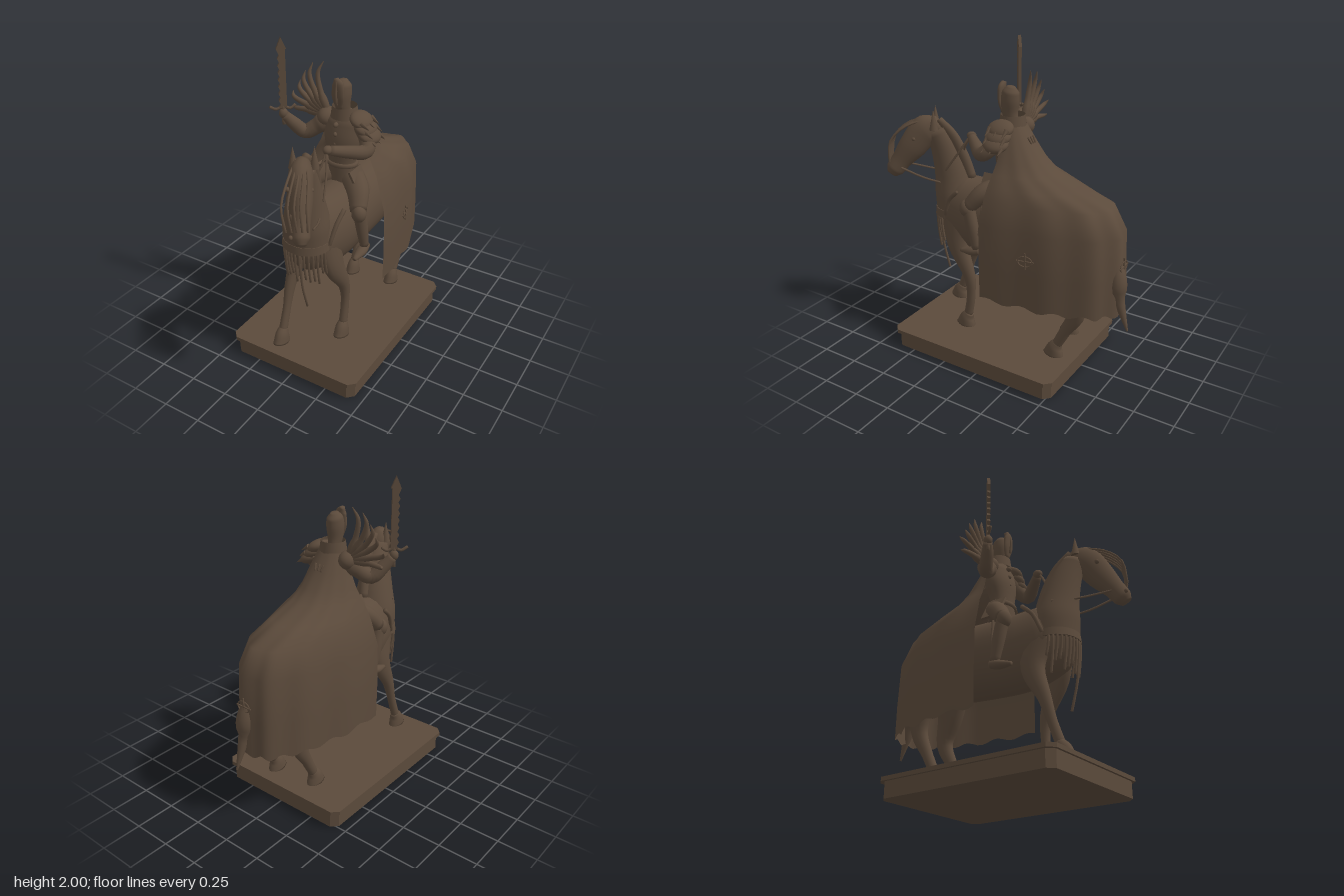
import * as THREE from 'three';

const bronze = new THREE.MeshStandardMaterial({ color: 0x5b4a3b });
const bronzeCloth = bronze.clone();
bronzeCloth.side = THREE.DoubleSide;

const X = [1, 0, 0], Z = [0, 0, 1];

// Surface from a grid of points; wrap closes each row into a ring
function gridGeometry(rows, cols, pos, wrap) {
  const index = [];
  for (let i = 0; i < rows - 1; i++) for (let j = 0; j < (wrap ? cols : cols - 1); j++) {
    const k = (j + 1) % cols, a = i * cols + j, b = i * cols + k;
    index.push(a, b, a + cols, b, b + cols, a + cols);
  }
  if (wrap) {
    const c0 = rows * cols, end = (rows - 1) * cols;
    for (let j = 0; j < cols; j++) {
      const k = (j + 1) % cols;
      index.push(c0, k, j, c0 + 1, end + j, end + k);
    }
  }
  const g = new THREE.BufferGeometry();
  g.setAttribute('position', new THREE.Float32BufferAttribute(pos, 3));
  g.setIndex(index);
  g.computeVertexNormals();
  return g;
}

// Loft of ellipses along a smooth path; each station is [x, y, z, sideRadius, depthRadius]
function loft(pts, ref = X, sides = 14, steps = 5) {
  const curve = new THREE.CatmullRomCurve3(pts.map(p => new THREE.Vector3(p[0], p[1], p[2])));
  const radii = new THREE.CatmullRomCurve3(pts.map(p => new THREE.Vector3(p[3], p[4] ?? p[3], 0)));
  const n = (pts.length - 1) * steps, pos = [], r = new THREE.Vector3(...ref);
  for (let i = 0; i <= n; i++) {
    const c = curve.getPoint(i / n), t = curve.getTangent(i / n), q = radii.getPoint(i / n);
    const s = r.clone().addScaledVector(t, -r.dot(t)).normalize();
    const d = t.clone().cross(s);
    for (let j = 0; j < sides; j++) {
      const a = j / sides * Math.PI * 2;
      const p = c.clone().addScaledVector(s, Math.cos(a) * q.x).addScaledVector(d, Math.sin(a) * q.y);
      pos.push(p.x, p.y, p.z);
    }
  }
  pos.push(...curve.getPoint(0).toArray(), ...curve.getPoint(1).toArray());
  return gridGeometry(n + 1, sides, pos, true);
}

export function createModel() {
  const model = new THREE.Group();
  const add = (name, geo, x = 0, y = 0, z = 0, mat = bronze) => {
    const m = new THREE.Mesh(geo, mat);
    m.name = name;
    m.position.set(x, y, z);
    model.add(m);
    return m;
  };
  const rod = (name, r, ...pts) => add(name, loft(pts.map(p => [...p, r]), [0.6, 0.1, 0.8], 6, 3));
  const ball = (name, x, y, z, a, b, c) => {
    const m = add(name, new THREE.SphereGeometry(1, 18, 12), x, y, z);
    m.scale.set(a, b, c);
    return m;
  };
  let seed = 7;
  const rand = () => (seed = (seed * 16807) % 2147483647) / 2147483647;

  // Plinth with clipped corners
  const slab = (name, w, d, c, h, y) => {
    const s = new THREE.Shape([[w - c, d], [w, d - c], [w, c - d], [w - c, -d], [c - w, -d], [-w, c - d], [-w, d - c], [c - w, d]]
      .map(p => new THREE.Vector2(...p)));
    add(name, new THREE.ExtrudeGeometry(s, { depth: h, bevelEnabled: false }).rotateX(-Math.PI / 2), 0, y, 0.06);
  };
  slab('plinth', 0.44, 0.585, 0.04, 0.1, 0);
  slab('plinthTop', 0.457, 0.6, 0.04, 0.025, 0.1);

  // Horse body, neck and head turned to its left
  add('horseBody', loft([[0, 0.9, -0.7, 0.04, 0.05], [0, 0.93, -0.62, 0.17, 0.18], [0, 0.92, -0.4, 0.21, 0.24],
    [0, 0.89, 0, 0.2, 0.25], [0, 0.885, 0.22, 0.19, 0.25], [0, 0.92, 0.4, 0.16, 0.23], [0, 0.97, 0.52, 0.09, 0.1]], X, 24));
  add('horseNeck', loft([[0, 0.87, 0.43, 0.145, 0.13], [0, 1.0, 0.43, 0.145, 0.14], [0.01, 1.15, 0.45, 0.115, 0.125],
    [0.03, 1.3, 0.49, 0.085, 0.1], [0.06, 1.43, 0.54, 0.06, 0.075]], X, 20));
  add('horseHead', loft([[0.05, 1.47, 0.52, 0.04, 0.05], [0.09, 1.42, 0.6, 0.07, 0.1], [0.14, 1.32, 0.67, 0.062, 0.09],
    [0.18, 1.22, 0.74, 0.05, 0.065], [0.2, 1.165, 0.775, 0.05, 0.06], [0.215, 1.13, 0.795, 0.025, 0.035]], [0.87, 0, -0.5], 18));
  add('mane', loft([[0.06, 1.5, 0.51, 0.02, 0.02], [0.04, 1.4, 0.42, 0.025, 0.035], [0.02, 1.27, 0.355, 0.03, 0.035],
    [0, 1.13, 0.31, 0.03, 0.03]]));
  for (const [x, z] of [[0.02, 0.57], [0.12, 0.51]])
    add('horseEar', new THREE.ConeGeometry(0.028, 0.13, 10), x, 1.51, z);
  for (const s of [-1, 1]) {
    ball('horseEye', 0.12 + s * 0.055, 1.38, 0.66 - s * 0.03, 0.015, 0.015, 0.015);
    ball('nostril', 0.2 + s * 0.035, 1.18, 0.8 - s * 0.02, 0.012, 0.014, 0.012);
  }
  add('tail', loft([[0, 1.0, -0.66, 0.03], [0.03, 0.8, -0.74, 0.035], [0.04, 0.6, -0.77, 0.035], [0.045, 0.39, -0.84, 0.006]]));

  // Face guard rods and bridle
  for (let i = -2; i <= 2; i++)
    rod('faceGuardRod', 0.007, [0.07 + 0.015 * i, 1.5, 0.57], [0.14 + 0.024 * i, 1.46, 0.7 - 0.012 * i],
      [0.18 + 0.03 * i, 1.36, 0.8 - 0.015 * i], [0.2 + 0.025 * i, 1.22, 0.81 - 0.015 * i]);
  for (const s of [-1, 1]) {
    rod('rein', 0.007, [0.18 + s * 0.05, 1.19, 0.72 - s * 0.02], [0.08 + s * 0.09, 1.13, 0.57], [s * 0.12, 1.1, 0.47]);
    rod('handRein', 0.007, [0.05, 1.43, 0.28], [0.06 + s * 0.03, 1.31, 0.35], [0.02 + s * 0.1, 1.19, 0.43]);
  }

  // Horse legs: the right fore leg is stepping forward
  const hoof = (x, z) => add('hoof', loft([[x, 0.22, z - 0.03, 0.027, 0.03], [x, 0.18, z - 0.01, 0.04, 0.05],
    [x, 0.125, z, 0.045, 0.07]]));
  for (const s of [-1, 1]) {
    const x = s * 0.145, fwd = s < 0;
    add('foreLeg', loft([[s * 0.1, 0.9, 0.36, 0.06, 0.12], [s * 0.13, 0.7, 0.34, 0.05, 0.08],
      fwd ? [x, 0.5, 0.42, 0.033, 0.042] : [x, 0.5, 0.245, 0.033, 0.042],
      fwd ? [x, 0.34, 0.47, 0.025, 0.03] : [x, 0.36, 0.235, 0.026, 0.03],
      fwd ? [x, 0.2, 0.52, 0.027, 0.03] : [x, 0.2, 0.26, 0.027, 0.03]]));
    hoof(x, fwd ? 0.54 : 0.28);
    const h = fwd ? 0.025 : -0.015;
    add('hindLeg', loft([[s * 0.11, 0.88, -0.48, 0.09, 0.17], [s * 0.14, 0.66, -0.5, 0.065, 0.1],
      [x, 0.47, -0.53 + h, 0.04, 0.06], [x, 0.32, -0.46 + h, 0.03, 0.037], [x, 0.2, -0.4 + h, 0.028, 0.032]]));
    hoof(x, -0.38 + h);
  }

  // Breast armour with hanging fringe
  add('breastArmour', new THREE.CylinderGeometry(1, 1.04, 0.05, 24, 1), 0, 0.895, 0.43).scale.set(0.148, 1, 0.136);
  for (let i = 0; i < 15; i++) {
    const a = (i / 14 - 0.5) * 2.7, x = 0.145 * Math.sin(a), z = 0.43 + 0.13 * Math.cos(a), len = 0.13 + 0.12 * rand();
    rod('fringe', 0.008, [x, 0.88, z], [x, 0.88 - len / 2, z - 0.005], [x, 0.88 - len, z - 0.02]);
  }
  rod('longFringe', 0.008, [0.03, 0.88, 0.54], [0.03, 0.65, 0.54], [0.03, 0.45, 0.49]);
  for (const s of [-1, 1])
    rod('shoulderRod', 0.014, [s * 0.18, 1.09, 0.3], [s * 0.17, 1.02, 0.37], [s * 0.15, 0.9, 0.42]);

  // Rider torso and head
  add('riderTorso', loft([[0, 1.1, 0.02, 0.11, 0.08], [0, 1.25, 0.03, 0.09, 0.068], [0, 1.4, 0.015, 0.125, 0.085],
    [0, 1.5, 0, 0.125, 0.075], [0, 1.57, 0, 0.045, 0.045]], X, 20));
  add('belt', new THREE.TorusGeometry(1, 0.16, 8, 24).rotateX(Math.PI / 2), 0, 1.24, 0.03).scale.set(0.092, 0.1, 0.07);
  add('collar', new THREE.CylinderGeometry(0.075, 0.085, 0.07, 20, 1, true), 0, 1.565, 0, bronzeCloth);
  add('riderHead', loft([[0, 1.55, 0.005, 0.035, 0.04], [0, 1.61, 0.02, 0.042, 0.052], [0, 1.68, 0.02, 0.05, 0.06],
    [0, 1.73, 0.015, 0.047, 0.055], [0, 1.765, 0.01, 0.02, 0.025]], X, 18));
  add('faceMask', loft([[0, 1.6, 0.065, 0.02, 0.012], [0, 1.68, 0.075, 0.042, 0.018], [0, 1.75, 0.075, 0.038, 0.02],
    [-0.015, 1.785, 0.07, 0.012, 0.015]]));
  rod('noseRidge', 0.008, [0, 1.63, 0.09], [0, 1.7, 0.098], [0, 1.77, 0.085]);
  for (let i = 0; i < 3; i++) ball('chestStud', -0.01, 1.5 - i * 0.06, 0.085, 0.014, 0.016, 0.02);

  // Raised right arm, left arm on the reins
  add('rightArm', loft([[-0.1, 1.5, 0, 0.05], [-0.17, 1.44, 0.03, 0.05], [-0.235, 1.4, 0.07, 0.045],
    [-0.285, 1.46, 0.12, 0.04], [-0.325, 1.52, 0.155, 0.028]], Z));
  add('leftArm', loft([[0.11, 1.5, 0, 0.055], [0.17, 1.44, 0.03, 0.05], [0.2, 1.385, 0.09, 0.045],
    [0.13, 1.4, 0.18, 0.038], [0.06, 1.425, 0.26, 0.028]], [0, 1, 0]));
  ball('rightHand', -0.33, 1.53, 0.16, 0.028, 0.032, 0.028);
  ball('leftHand', 0.05, 1.43, 0.27, 0.028, 0.026, 0.032);

  // Sword with notched blade, turned diagonally
  const blade = new THREE.Shape();
  blade.moveTo(0.022, 0).lineTo(0.022, 0.36).lineTo(0.03, 0.36).lineTo(0, 0.43).lineTo(-0.03, 0.36);
  for (let i = 7; i >= 0; i--) blade.lineTo(-0.014, 0.02 + i * 0.043).lineTo(-0.025, i * 0.043);
  const sword = add('swordBlade', new THREE.ExtrudeGeometry(blade, { depth: 0.02, bevelEnabled: false }).translate(0, 0, -0.01),
    -0.33, 1.57, 0.16);
  sword.rotation.y = Math.PI / 4;
  rod('swordGuard', 0.009, [-0.385, 1.58, 0.22], [-0.36, 1.56, 0.19], [-0.33, 1.575, 0.16], [-0.3, 1.56, 0.13], [-0.28, 1.58, 0.105]);
  rod('swordGrip', 0.012, [-0.33, 1.46, 0.16], [-0.33, 1.58, 0.16]);

  // Fan of curved horns on the right shoulder
  for (const [x, y] of [[-0.16, 1.83], [-0.235, 1.81], [-0.29, 1.75], [-0.33, 1.68], [-0.385, 1.6], [-0.37, 1.51]])
    add('shoulderHorn', loft([[-0.11, 1.5, -0.01, 0.018], [x * 0.5 - 0.085, y * 0.4 + 0.905, 0, 0.018],
      [x * 0.8 - 0.06, y * 0.8 + 0.295, -0.005, 0.013], [x, y, -0.025, 0.002]], Z, 8));
  ball('rightShoulderPlate', -0.12, 1.5, 0, 0.06, 0.06, 0.075);

  // Layered spiked plates on the left shoulder
  for (let i = 0; i < 3; i++) {
    ball('leftShoulderPlate', 0.12 + i * 0.028, 1.535 - i * 0.04, 0.01, 0.07, 0.04, 0.085).rotation.z = -0.5;
    for (const z of [-0.05, 0.01, 0.065]) {
      const spike = add('shoulderSpike', new THREE.ConeGeometry(0.018, 0.07, 6), 0.18 + i * 0.022, 1.52 - i * 0.045, z);
      spike.rotation.z = -2.1;
    }
  }

  // Rider legs, boots and hip plates
  for (const s of [-1, 1]) {
    add('thigh', loft([[s * 0.07, 1.16, 0.03, 0.06, 0.075], [s * 0.16, 1.12, 0.11, 0.06, 0.07], [s * 0.21, 1.03, 0.19, 0.045, 0.05]], [0, 0.7, 0.7]));
    add('shin', loft([[s * 0.215, 1.03, 0.19, 0.04], [s * 0.22, 0.9, 0.16, 0.035, 0.042], [s * 0.22, 0.76, 0.13, 0.026, 0.03]]));
    add('boot', loft([[s * 0.22, 0.75, 0.1, 0.025], [s * 0.22, 0.735, 0.16, 0.035, 0.028], [s * 0.22, 0.72, 0.25, 0.014, 0.012]]));
    ball('kneePlate', s * 0.22, 1.02, 0.2, 0.045, 0.055, 0.045);
    rod('stirrupStrap', 0.008, [s * 0.195, 1.05, 0.1], [s * 0.22, 0.88, 0.11], [s * 0.23, 0.72, 0.15]);
    const hip = add('hipPlate', new THREE.BoxGeometry(0.015, 0.17, 0.13), s * 0.15, 1.16, 0.07);
    hip.rotation.z = s * 0.5;
  }

  // Cloak: rows of [y, halfWidth, frontZ, backZ] draped over the horse's rump
  const rows = [[1.54, 0.09, 0, -0.08], [1.43, 0.135, 0, -0.15], [1.34, 0.165, 0.01, -0.22], [1.27, 0.2, 0.02, -0.3],
    [1.2, 0.24, 0.03, -0.48], [1.13, 0.265, 0.04, -0.68], [0.98, 0.31, 0.05, -0.76], [0.7, 0.315, 0.05, -0.775], [0.48, 0.312, 0.05, -0.78]];
  const cols = 65, pos = [];
  rows.forEach(([y, w, zf, zb], i) => {
    for (let j = 0; j < cols; j++) {
      const a = j / (cols - 1) * Math.PI, c = Math.cos(a), fold = 1 + 0.018 * Math.sin(a * 14) * Math.min(1, i / 4);
      const hem = i === rows.length - 1 ? 0.013 * Math.sin(a * 22) : 0;
      pos.push(w * fold * Math.sign(c) * Math.abs(c) ** 0.88, y + hem, zf + (zb - zf) * Math.sin(a) * (1 + (fold - 1) * 0.6));
    }
  });
  add('cloak', gridGeometry(rows.length, cols, pos, false), 0, 0, 0, bronzeCloth);

  // Small ring ornaments on the cloak
  for (const [x, y, z, turn] of [[0.298, 0.81, -0.27, Math.PI / 2 + 0.2], [0.02, 0.8, -0.782, 0]]) {
    const ring = add('cloakRing', new THREE.TorusGeometry(0.045, 0.004, 6, 24), x, y, z);
    ring.scale.y = 0.75;
    ring.rotation.y = turn;
    for (const [w, h] of [[0.11, 0.006], [0.006, 0.11]])
      add('cloakRingBar', new THREE.BoxGeometry(w, h, 0.008), x, y, z).rotation.y = turn;
  }
  for (const x of [-0.03, 0, 0.03]) rod('cloakClasp', 0.006, [x * 0.7, 1.44, -0.145], [x, 1.48, -0.125]);

  return model;
}
